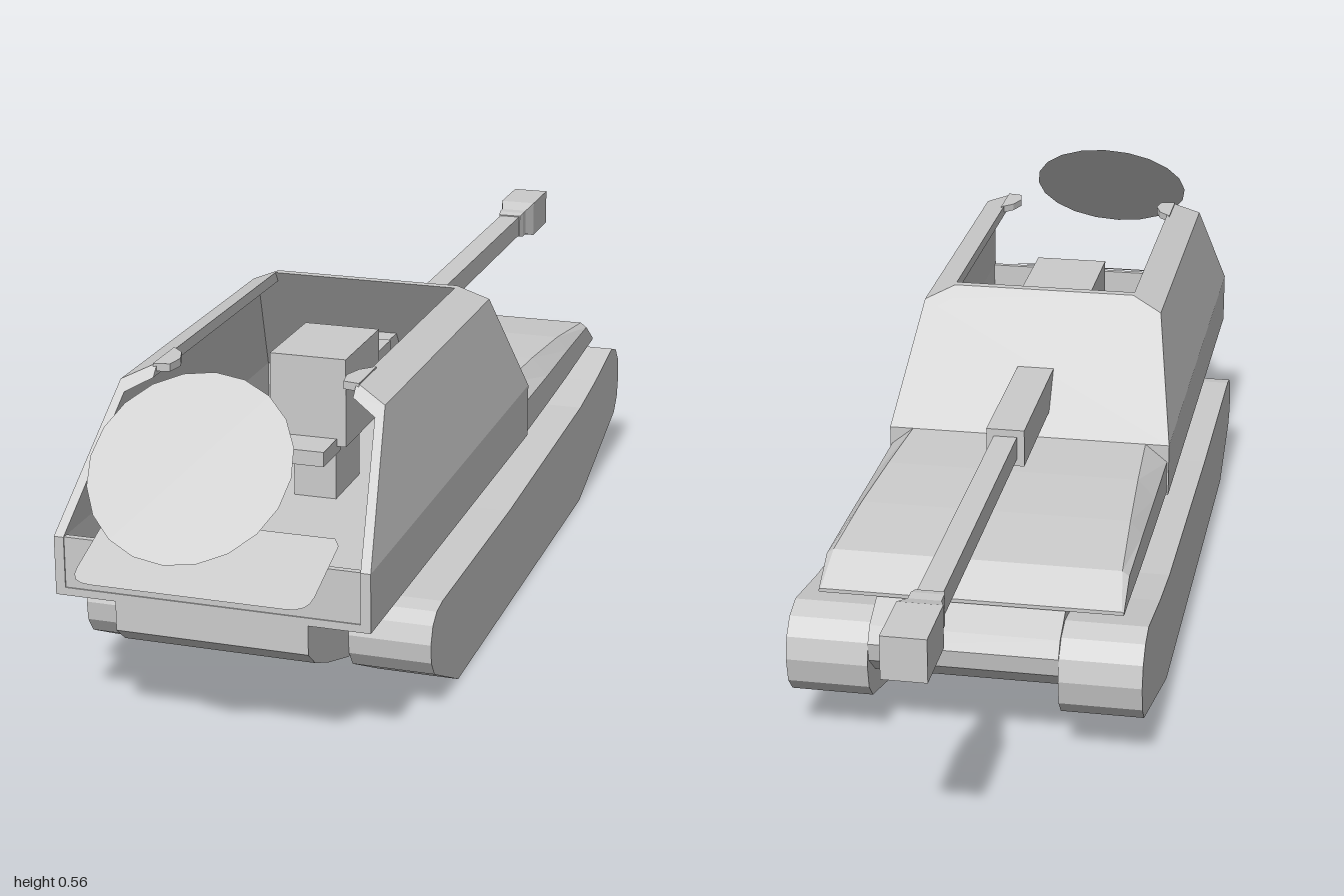
import * as THREE from 'three';

const grey = new THREE.MeshStandardMaterial({ color: 0xcccccc, flatShading: true, side: THREE.DoubleSide });

export function createModel() {
  const model = new THREE.Group();

  const add = (name, geometry) => {
    const mesh = new THREE.Mesh(geometry, grey);
    mesh.name = name;
    model.add(mesh);
    return mesh;
  };

  const shapeOf = (pts) => new THREE.Shape(pts.map(([a, b]) => new THREE.Vector2(a, b)));

  // Box given by its limits
  const box = (name, x0, x1, y0, y1, z0, z1) => add(name,
    new THREE.BoxGeometry(x1 - x0, y1 - y0, z1 - z0)
      .translate((x0 + x1) / 2, (y0 + y1) / 2, (z0 + z1) / 2));

  // Side profile in (z, y), extruded across x
  const sideProfile = (name, pts, x0, x1) => add(name,
    new THREE.ExtrudeGeometry(shapeOf(pts), { depth: x1 - x0, bevelEnabled: false })
      .rotateY(-Math.PI / 2).translate(x1, 0, 0));

  // Cross-section in (x, y) whose two ends lean with height
  const leaningPrism = (name, pts, zNear, zFar) => {
    const geometry = new THREE.ExtrudeGeometry(shapeOf(pts), { depth: 1, bevelEnabled: false });
    const p = geometry.attributes.position;
    for (let i = 0; i < p.count; i++) {
      const y = p.getY(i), t = p.getZ(i);
      p.setZ(i, zNear(y) * (1 - t) + zFar(y) * t);
    }
    geometry.computeVertexNormals();
    return add(name, geometry);
  };

  // Skin over a row of equal-sized closed loops, with capped ends
  const loft = (name, loops) => {
    const pos = [], n = loops[0].length;
    const tri = (a, b, c) => pos.push(...a, ...b, ...c);
    for (let i = 0; i < loops.length - 1; i++) {
      for (let j = 0; j < n; j++) {
        const k = (j + 1) % n, A = loops[i], B = loops[i + 1];
        tri(A[j], A[k], B[k]);
        tri(A[j], B[k], B[j]);
      }
    }
    const first = loops[0], last = loops[loops.length - 1];
    for (let j = 1; j < n - 1; j++) {
      tri(first[0], first[j + 1], first[j]);
      tri(last[0], last[j], last[j + 1]);
    }
    const geometry = new THREE.BufferGeometry();
    geometry.setAttribute('position', new THREE.Float32BufferAttribute(pos, 3));
    geometry.computeVertexNormals();
    return add(name, geometry);
  };

  // Tracks with rounded ends
  const track = [
    [0.5, 0], [0.63, 0.065], [0.647, 0.09], [0.65, 0.12], [0.64, 0.147], [0.62, 0.162], [0.59, 0.167],
    [0.2, 0.167], [-0.3, 0.182], [-0.42, 0.195], [-0.555, 0.217], [-0.59, 0.205], [-0.612, 0.18],
    [-0.62, 0.145], [-0.612, 0.105], [-0.59, 0.08], [-0.31, 0],
  ];
  sideProfile('leftTrack', track, 0.147, 0.275);
  sideProfile('rightTrack', track, -0.275, -0.147);

  // Lower hull between the tracks
  sideProfile('lowerHull', [
    [0.55, 0.08], [0.65, 0.085], [0.74, 0.115], [0.8, 0.14], [0.83, 0.165], [0.83, 0.215],
    [-0.05, 0.22], [-0.53, 0.24], [-0.6, 0.205], [-0.615, 0.18], [-0.61, 0.15], [-0.57, 0.115], [-0.46, 0.08],
  ], -0.147, 0.147);

  // Forward deck with chamfered sides: z, top y, top half width, shoulder y, bottom y
  loft('frontDeck', [
    [-0.555, 0.238, 0.234, 0.236, 0.232],
    [-0.5, 0.28, 0.226, 0.272, 0.23],
    [-0.35, 0.295, 0.217, 0.272, 0.222],
    [-0.2, 0.3, 0.208, 0.27, 0.217],
    [-0.05, 0.3, 0.2, 0.27, 0.213],
  ].map(([z, yTop, xTop, yMid, yLow]) => [
    [-0.237, yLow, z], [0.237, yLow, z], [0.237, yMid, z],
    [xTop, yTop, z], [-xTop, yTop, z], [-0.237, yMid, z],
  ]));

  // Fighting compartment tub
  box('compartmentFloor', -0.24, 0.24, 0.21, 0.222, -0.05, 0.83);
  box('compartmentRearPlate', -0.225, 0.225, 0.21, 0.3, 0.818, 0.828);
  box('compartmentFrontPlate', -0.24, 0.24, 0.21, 0.3, -0.05, -0.035);

  // Sloping armour walls, open at the rear and on top
  const zFront = (y) => -0.05 + (y - 0.3) * 0.15 / 0.21;
  const zRear = (y) => 0.83 - (y - 0.3) * 0.2 / 0.21;
  for (const [side, s] of [['left', 1], ['right', -1]]) {
    const flip = (pts) => pts.map(([x, y]) => [x * s, y]);
    box(side + 'LowerWall', Math.min(0.225 * s, 0.24 * s), Math.max(0.225 * s, 0.24 * s), 0.21, 0.3, -0.05, 0.83);
    leaningPrism(side + 'ArmourWall', flip([
      [0.225, 0.3], [0.24, 0.3], [0.205, 0.487], [0.155, 0.51], [0.155, 0.492], [0.194, 0.472],
    ]), zFront, zRear);
    // Inward tab at the rear end of the roof rim
    const tab = shapeOf(flip([[0.16, -0.55], [0.14, -0.57], [0.13, -0.6], [0.135, -0.63], [0.16, -0.635]]));
    add(side + 'RimTab', new THREE.ExtrudeGeometry(tab, { depth: 0.012, bevelEnabled: false })
      .rotateX(-Math.PI / 2).translate(0, 0.498, 0));
  }
  leaningPrism('frontArmourPlate', [
    [-0.24, 0.3], [0.24, 0.3], [0.205, 0.487], [0.155, 0.51], [-0.155, 0.51], [-0.205, 0.487],
  ], zFront, (y) => zFront(y) + 0.015);

  // Gun: square-section barrel, sleeve and muzzle brake
  const square = (r, z) => [[-r, 0.367 - r, z], [r, 0.367 - r, z], [r, 0.367 + r, z], [-r, 0.367 + r, z]];
  loft('gunBarrel', [square(0.019, -0.84), square(0.019, -0.2)]);
  loft('gunSleeve', [square(0.031, -0.26), square(0.031, 0.12)]);
  loft('muzzleBrake', [
    square(0.021, -0.83), square(0.024, -0.845), square(0.024, -0.865),
    square(0.033, -0.895), square(0.033, -1),
  ].reverse());

  // Gun mount inside the compartment
  box('gunCradle', -0.035, 0.035, 0.335, 0.4, 0.08, 0.24);
  box('gunBreech', -0.062, 0.062, 0.322, 0.465, 0.23, 0.4);
  box('breechTray', -0.047, 0.047, 0.31, 0.334, 0.38, 0.465);
  box('gunPedestal', -0.035, 0.035, 0.22, 0.325, 0.25, 0.37);

  // Thin folding platform at the rear, with rounded outer corners
  const w = 0.178, l = 0.158, r = 0.032;
  const platform = new THREE.Shape();
  platform.moveTo(-w + 0.01, 0);
  platform.lineTo(w - 0.01, 0);
  platform.lineTo(w, -0.015);
  platform.lineTo(w, -l + r);
  platform.quadraticCurveTo(w, -l, w - r, -l);
  platform.lineTo(-w + r, -l);
  platform.quadraticCurveTo(-w, -l, -w, -l + r);
  platform.lineTo(-w, -0.015);
  const rear = add('rearPlatform', new THREE.ShapeGeometry(platform, 4));
  rear.rotation.x = -Math.PI / 2 + Math.atan2(0.05, 0.15);
  rear.position.set(0, 0.322, 0.77);

  // Thin round panel leaning over the rear
  const panel = add('rearRoundPanel', new THREE.CircleGeometry(0.148, 20));
  panel.rotation.x = -Math.PI / 4;
  panel.position.set(0, 0.455, 0.895);

  return model;
}
